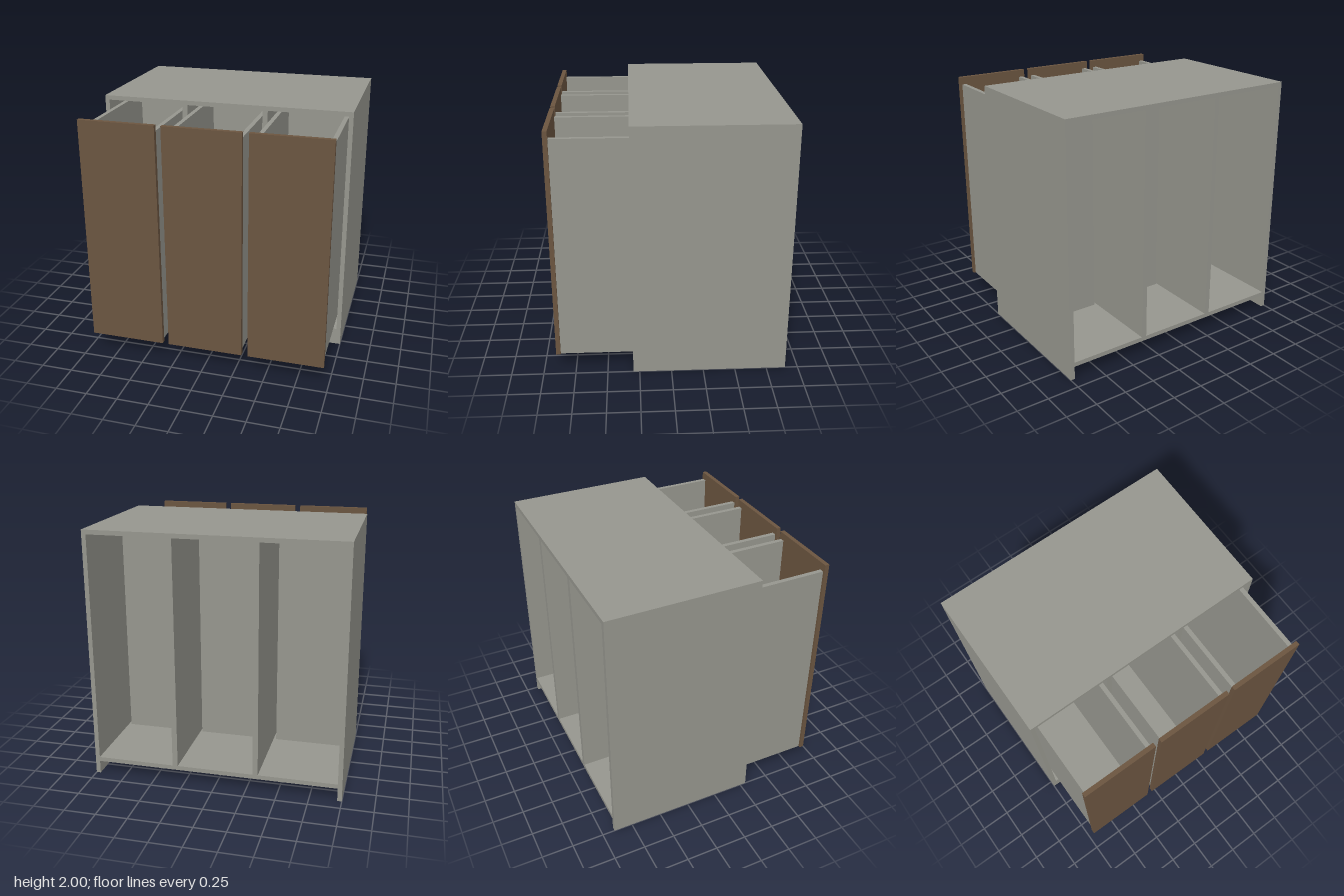
import * as THREE from 'three';

export function createModel() {
  const grey = new THREE.MeshStandardMaterial({ color: 0x96968e });
  grey.name = 'grey board';
  const brown = new THREE.MeshStandardMaterial({ color: 0x6b5540 });
  brown.name = 'brown front';

  // Board spanning the given ranges on each axis
  function board(parent, name, [x0, x1], [y0, y1], [z0, z1], material = grey) {
    const mesh = new THREE.Mesh(new THREE.BoxGeometry(x1 - x0, y1 - y0, z1 - z0), material);
    mesh.position.set((x0 + x1) / 2, (y0 + y1) / 2, (z0 + z1) / 2);
    mesh.name = name;
    parent.add(mesh);
  }

  const T = 0.035; // board thickness
  const BACK = -0.9, FRONT = 0.3, INNER = 1 - T;
  const SHELF = 0.14; // top of the cabinet floor
  const depth = [BACK, FRONT];

  const model = new THREE.Group();
  model.name = 'drawerCabinet';

  // Carcass, open at the back and underneath
  const carcass = new THREE.Group();
  carcass.name = 'carcass';
  model.add(carcass);
  board(carcass, 'top', [-INNER, INNER], [2 - T, 2], depth);
  board(carcass, 'floor', [-INNER, INNER], [SHELF - T, SHELF], depth);
  board(carcass, 'plinth', [-INNER, INNER], [0, SHELF - T], [FRONT - T, FRONT]);
  board(carcass, 'leftSide', [INNER, 1], [0, 2], depth);
  board(carcass, 'rightSide', [-1, -INNER], [0, 2], depth);
  for (const s of [-1, 1]) {
    const edges = [s * 0.303, s * 0.345].sort((a, b) => a - b);
    board(carcass, s > 0 ? 'leftDivider' : 'rightDivider', edges, [SHELF, 2 - T], depth);
  }

  // Three tall drawers, pulled out and open at the top
  const W = 0.285, BOTTOM = 0.145, TOP = 1.9, REAR = -0.26, FACE = 0.865;
  [-0.654, 0, 0.654].forEach((x, i) => {
    const drawer = new THREE.Group();
    drawer.name = ['rightDrawer', 'middleDrawer', 'leftDrawer'][i];
    drawer.position.x = x;
    model.add(drawer);
    board(drawer, 'drawerWallRight', [-W, -W + T], [BOTTOM, TOP], [REAR, FACE]);
    board(drawer, 'drawerWallLeft', [W - T, W], [BOTTOM, TOP], [REAR, FACE]);
    board(drawer, 'drawerBack', [-W + T, W - T], [BOTTOM, TOP], [REAR, REAR + T]);
    board(drawer, 'drawerFloor', [-W + T, W - T], [BOTTOM, BOTTOM + T], [REAR + T, FACE]);
    board(drawer, 'drawerFront', [-0.302, 0.302], [BOTTOM, 1.96], [FACE, FACE + T], brown);
  });

  return model;
}
